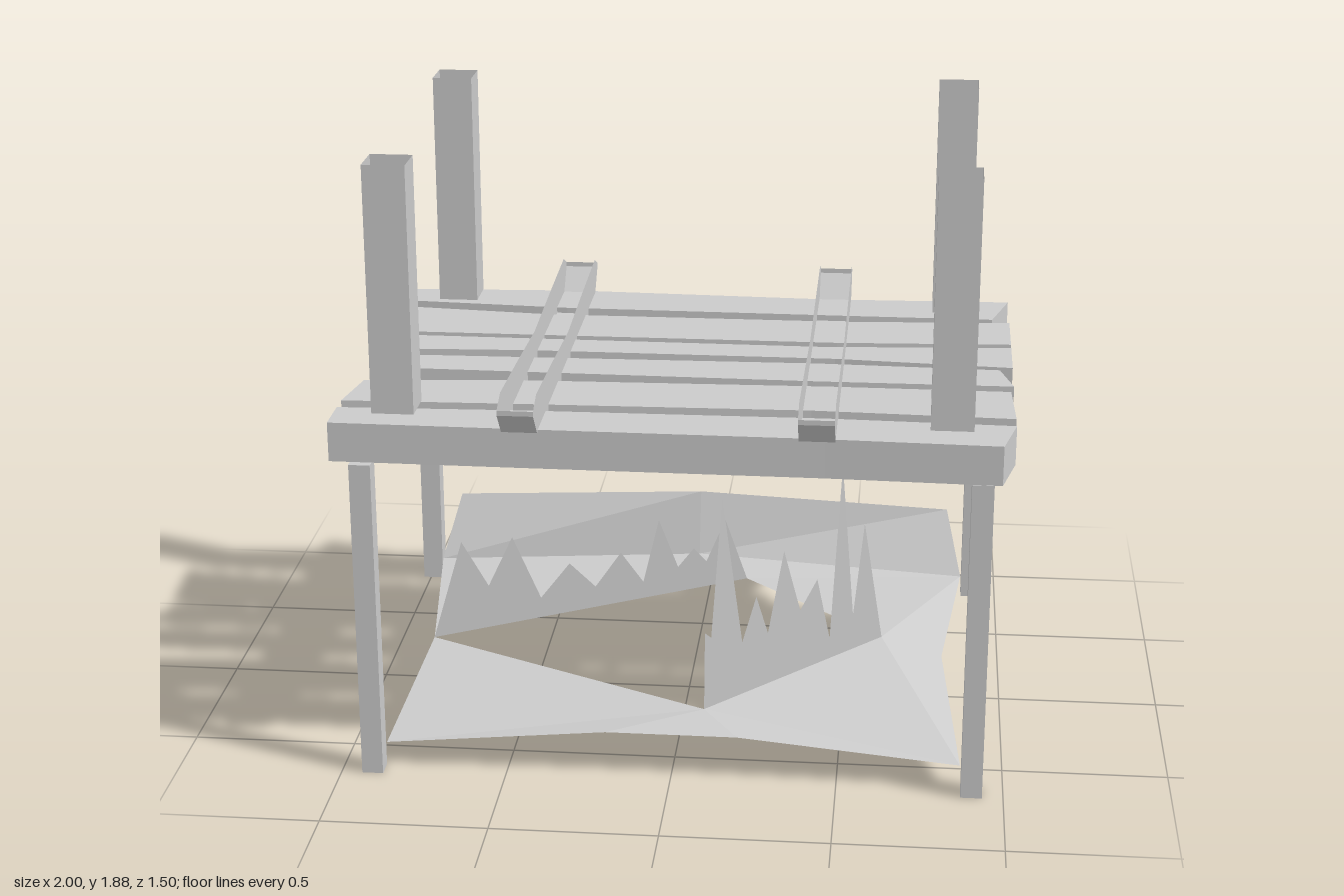
import * as THREE from 'three';

const grey = new THREE.MeshStandardMaterial({ color: 0xcccccc, flatShading: true });
const thin = new THREE.MeshStandardMaterial({ color: 0xcccccc, flatShading: true, side: THREE.DoubleSide });

function add(parent, name, geometry, material = grey) {
  const mesh = new THREE.Mesh(geometry, material);
  mesh.name = name;
  parent.add(mesh);
  return mesh;
}

// Flat-shaded surface from a list of polygons, each a fan of [x, y, z] corners
function facets(polygons) {
  const pos = [];
  for (const p of polygons)
    for (let i = 1; i < p.length - 1; i++) pos.push(...p[0], ...p[i], ...p[i + 1]);
  const g = new THREE.BufferGeometry();
  g.setAttribute('position', new THREE.Float32BufferAttribute(pos, 3));
  g.computeVertexNormals();
  return g;
}

// Board cut from a top outline: back edge and front edge as [x, z] from left to right
function plank(back, front) {
  const outline = [...back, ...front.slice().reverse()].map(([x, z]) => new THREE.Vector2(x, -z));
  const g = new THREE.ExtrudeGeometry(new THREE.Shape(outline), { depth: 0.12, bevelEnabled: false });
  return g.rotateX(-Math.PI / 2).translate(0, 1, 0);
}

// Sagging open-topped crossbar with upswept ends
function crossbar(x0, x1) {
  const sections = [ // z, bottom y, top y
    [0.75, 1.19, 1.205], [0.68, 1.115, 1.235], [0.35, 1.09, 1.22], [0, 1.08, 1.2],
    [-0.35, 1.09, 1.22], [-0.68, 1.115, 1.235], [-0.75, 1.19, 1.205],
  ];
  const polys = [];
  for (let i = 0; i < sections.length - 1; i++) {
    const [za, ba, ta] = sections[i], [zb, bb, tb] = sections[i + 1];
    polys.push([[x0, ba, za], [x0, ta, za], [x0, tb, zb], [x0, bb, zb]]);
    polys.push([[x1, ba, za], [x1, bb, zb], [x1, tb, zb], [x1, ta, za]]);
    polys.push([[x0, ba, za], [x0, bb, zb], [x1, bb, zb], [x1, ba, za]]);
  }
  for (const [z, b, t] of [sections[0], sections[6]])
    polys.push([[x0, b, z], [x1, b, z], [x1, t, z], [x0, t, z]]);
  return facets(polys);
}

// Jagged upright strip standing on the line from a to b; points are [x, y]
function jagged(a, b, points) {
  const onLine = (x) => {
    const t = (x - a[0]) / (b[0] - a[0]);
    return [x, a[1] + (b[1] - a[1]) * t, a[2] + (b[2] - a[2]) * t];
  };
  const row = [[a[0], a[1]], ...points, [b[0], b[1]]];
  const polys = [];
  for (let i = 0; i < row.length - 1; i++) {
    const p = onLine(row[i][0]), q = onLine(row[i + 1][0]);
    polys.push([p, q, [q[0], row[i + 1][1], q[2]], [p[0], row[i][1], p[2]]]);
  }
  return facets(polys);
}

export function createModel() {
  const model = new THREE.Group();
  model.name = 'brokenTable';

  // Uneven boards
  const deck = new THREE.Group();
  deck.name = 'deck';
  model.add(deck);
  const boards = [
    [[[-1, -0.67], [-0.43, -0.7], [0.4, -0.675], [1, -0.695]], [[-1, -0.54], [-0.45, -0.505], [0.48, -0.5], [0.945, -0.5]]],
    [[[-1, -0.475], [-0.5, -0.43], [0.45, -0.435], [1, -0.47]], [[-0.98, -0.21], [0.45, -0.215], [1, -0.245]]],
    [[[-0.97, -0.175], [0.4, -0.17], [1, -0.21]], [[-1, -0.03], [-0.5, -0.055], [0.45, -0.055], [1, -0.015]]],
    [[[-1, 0.025], [0.4, -0.005], [0.96, 0.01]], [[-0.98, 0.15], [0.4, 0.165], [1, 0.16]]],
    [[[-0.97, 0.275], [-0.5, 0.235], [0.45, 0.21], [0.99, 0.21]], [[-1, 0.465], [-0.5, 0.45], [0.4, 0.43], [1, 0.45]]],
    [[[-1, 0.525], [-0.45, 0.505], [0.45, 0.495], [1, 0.51]], [[-1, 0.66], [-0.45, 0.665], [0.45, 0.67], [0.96, 0.685]]],
  ];
  for (const [back, front] of boards) add(deck, 'plank', plank(back, front));

  // Crossbars on the boards
  add(model, 'leftCrossbar', crossbar(0.375, 0.48), thin);
  add(model, 'rightCrossbar', crossbar(-0.485, -0.38), thin);

  // Legs below (shorter at the back) and hollow square posts above
  for (const s of [-1, 1]) {
    add(model, 'frontLeg', new THREE.BoxGeometry(0.064, 1, 0.062).translate(s * 0.905, 0.5, 0.655));
    add(model, 'backLeg', new THREE.BoxGeometry(0.064, 0.81, 0.062).translate(s * 0.905, 0.595, -0.41));
    for (const t of [-1, 1]) {
      const post = new THREE.CylinderGeometry(0.125 / Math.SQRT2, 0.125 / Math.SQRT2, 0.745, 4, 1, true);
      post.rotateY(Math.PI / 4).translate(s * 0.8125, 1.5125, t * 0.5625);
      add(model, 'post', post, thin);
    }
  }

  // Torn sheet stretched between the legs: outer corners, then the rim of the tear
  const fl = [-0.87, 0.075, 0.625], f1 = [-0.2, 0.138, 0.625], f2 = [0.2, 0.138, 0.625], fr = [0.87, 0.075, 0.625];
  const side = [0.81, 0.2, 0.125];
  const br = [0.87, 0.26, -0.38], bm = [0, 0.31, -0.38], bl = [-0.87, 0.26, -0.38];
  const tr = [0.82, 0.45, -0.5], tm = [0, 0.51, -0.44], tl = [-0.82, 0.45, -0.5];
  const a = [0.09, 0.167, 0.5], b = [0.62, 0.26, 0.125], c = [-0.81, 0.2, 0.125], d = [0.17, 0.295, -0.22];
  add(model, 'tornSheet', facets([
    [fl, f1, a], [f1, f2, a], [f2, fr, a], [fl, a, c],
    [fr, b, a], [fr, side, b], [side, br, b],
    [br, d, b], [br, bm, d], [bm, bl, d], [bl, c, d],
    [bl, bm, tm, tl], [bm, br, tr, tm],
  ]), thin);

  // Jagged shreds standing on two edges of the tear
  add(model, 'frontShreds', jagged(a, b, [
    [0.092, 0.42], [0.11, 0.4], [0.14, 0.85], [0.2, 0.36], [0.24, 0.5], [0.275, 0.37], [0.32, 0.63], [0.37, 0.42],
    [0.42, 0.51], [0.46, 0.3], [0.49, 0.87], [0.53, 0.36], [0.56, 0.66],
  ]), thin);
  add(model, 'backShreds', jagged(c, d, [
    [-0.72, 0.52], [-0.64, 0.36], [-0.565, 0.52], [-0.48, 0.3], [-0.39, 0.41], [-0.31, 0.32], [-0.23, 0.43],
    [-0.16, 0.32], [-0.11, 0.53], [-0.05, 0.36], [0, 0.42], [0.04, 0.37], [0.1, 0.51],
  ]), thin);

  return model;
}
